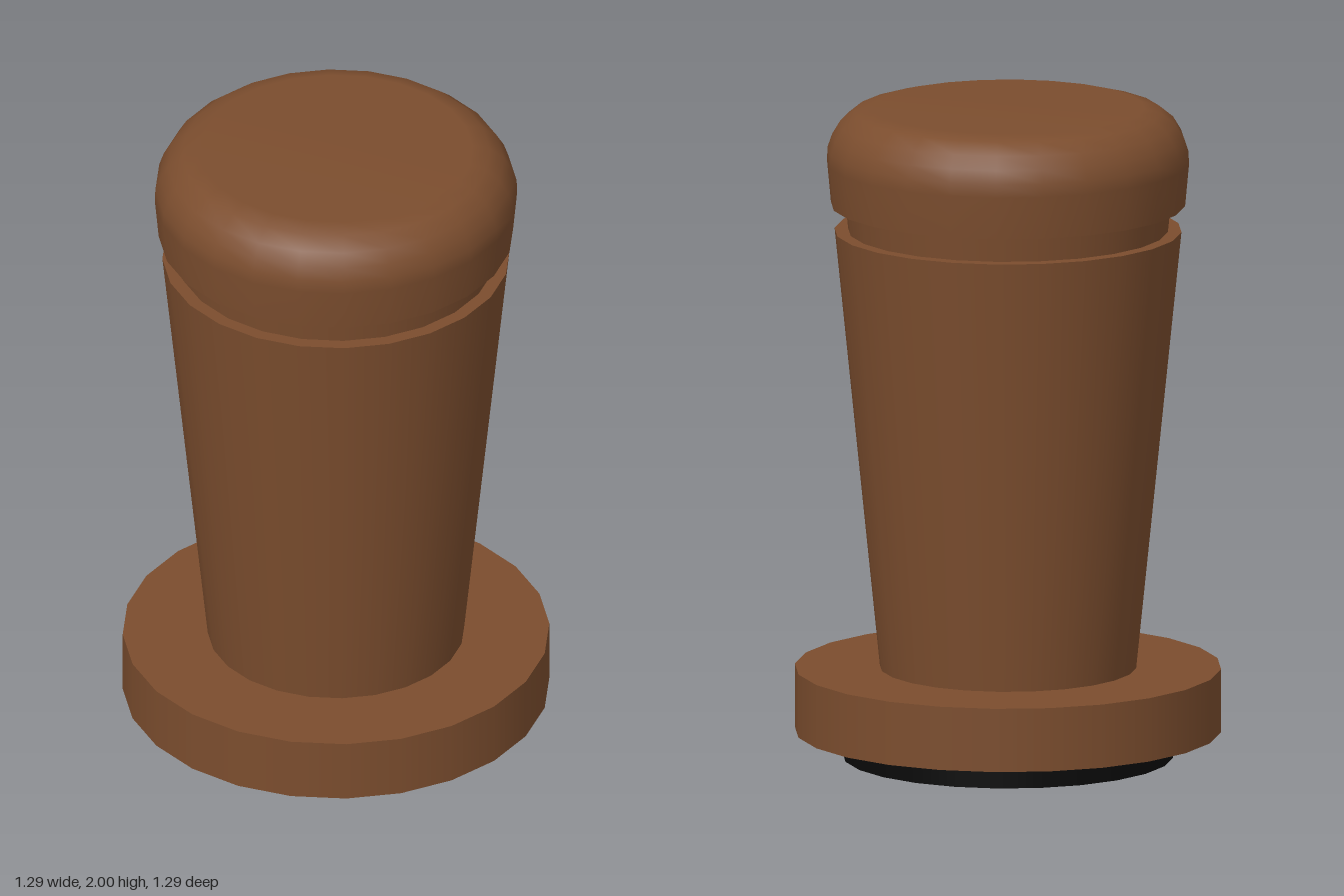
import * as THREE from 'three';

const SIDES = 24;
const wood = new THREE.MeshStandardMaterial({ color: 0x7b4d2e });
const felt = new THREE.MeshStandardMaterial({ color: 0x0a0a0a });

// Straight or tapered disc with sharp rims
function drum(name, rTop, rBottom, y0, y1, material) {
  const mesh = new THREE.Mesh(new THREE.CylinderGeometry(rTop, rBottom, y1 - y0, SIDES), material);
  mesh.position.y = (y0 + y1) / 2;
  mesh.name = name;
  return mesh;
}

export function createModel() {
  const group = new THREE.Group();
  group.name = 'turnedPeg';

  // Foot, flange, tapered shaft and recessed neck
  group.add(drum('footPad', 0.5, 0.5, 0, 0.08, felt));
  group.add(drum('baseFlange', 0.645, 0.645, 0.08, 0.275, wood));
  group.add(drum('taperedShaft', 0.525, 0.388, 0.275, 1.62, wood));
  group.add(drum('neckGroove', 0.492, 0.484, 1.62, 1.7, wood));

  // Cap: smooth side rolling over into a flat top
  const profile = [
    [0.536, 1.7], [0.548, 1.83], [0.546, 1.87], [0.532, 1.91],
    [0.508, 1.95], [0.465, 1.985], [0.41, 2], [0, 2],
  ].map(([r, y]) => new THREE.Vector2(r, y));
  const cap = new THREE.Mesh(new THREE.LatheGeometry(profile, SIDES), wood);
  cap.name = 'roundedCap';
  group.add(cap);

  // Flat underside of the cap
  const under = new THREE.Mesh(new THREE.CircleGeometry(0.536, SIDES), wood);
  under.rotation.x = Math.PI / 2;
  under.position.y = 1.7;
  under.name = 'capUnderside';
  group.add(under);

  return group;
}
